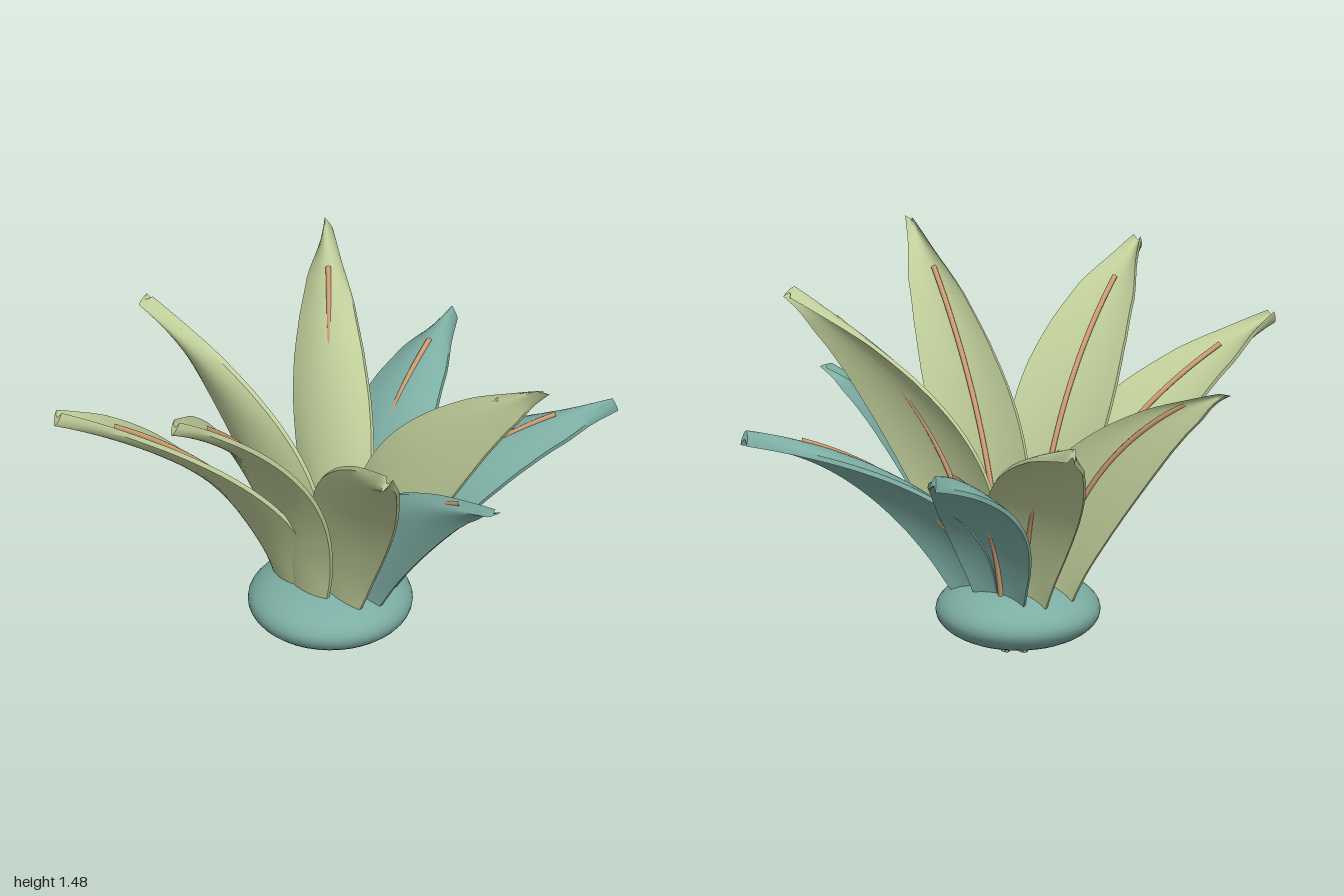
import * as THREE from 'three';
import { toCreasedNormals } from 'three/addons/utils/BufferGeometryUtils.js';

const CX = -0.025, CZ = -0.05; // plant axis

// half-width of a leaf along its length: [t, halfWidth]
const WIDTHS = [[0, 0.012], [0.08, 0.08], [0.18, 0.138], [0.35, 0.207], [0.5, 0.232],
  [0.65, 0.212], [0.83, 0.14], [0.93, 0.065], [1, 0.016]];
const widthCurve = new THREE.SplineCurve(WIDTHS.map(([t, w]) => new THREE.Vector2(t, w)));
const widthSamples = widthCurve.getPoints(200);

function halfWidth(t) {
  const i = widthSamples.findIndex((p) => p.x >= t - 1e-6);
  return widthSamples[i < 0 ? widthSamples.length - 1 : i].y;
}

// arching centre line from the hub to the leaf tip
function leafPath(x, y, z, rise) {
  const dx = x - CX, dz = z - CZ, r = Math.hypot(dx, dz);
  const at = (d, h) => new THREE.Vector3(CX + (dx / r) * d, h, CZ + (dz / r) * d);
  return new THREE.QuadraticBezierCurve3(at(0.13, 0.004), at(0.18, rise), at(r, y));
}

// curved blade: every cross-section spreads along x and bows along the normal
function bladeGeometry(path, scale) {
  const rings = 36, across = 10, thick = 0.026, pos = [], index = [];
  const X = new THREE.Vector3(1, 0, 0);
  const n = (across + 1) * 2;
  for (let i = 0; i <= rings; i++) {
    const t = i / rings, p = path.getPoint(t), w = halfWidth(t) * scale;
    const normal = path.getTangent(t).cross(X).normalize();
    for (let j = 0; j < n; j++) {
      const under = j <= across;
      const k = under ? j : n - 1 - j;
      const s = (k / across) * 2 - 1;
      const edge = 1 - 0.45 * s * s;
      const cup = 0.035 * (s * s - 0.2) * Math.min(1, t / 0.2);
      const v = cup + (under ? -0.5 : 0.5) * thick * edge * (1 + 0.5 * t);
      const q = p.clone().addScaledVector(X, s * w).addScaledVector(normal, v);
      pos.push(q.x, q.y, q.z);
    }
  }
  for (let i = 0; i < rings; i++) {
    for (let j = 0; j < n; j++) {
      const a = i * n + j, b = i * n + (j + 1) % n;
      index.push(a, b, a + n, b, b + n, a + n);
    }
  }
  // end caps as strips between the two faces
  const last = rings * n;
  for (let k = 0; k < across; k++) {
    const a = k, b = k + 1, c = n - 2 - k, d = n - 1 - k;
    index.push(a, c, b, a, d, c);
    index.push(last + a, last + b, last + c, last + a, last + c, last + d);
  }
  const g = new THREE.BufferGeometry();
  g.setAttribute('position', new THREE.Float32BufferAttribute(pos, 3));
  g.setIndex(index);
  return toCreasedNormals(g, 0.7);
}

// thin midrib: set back near the hub, lying on top of the blade near the tip
function ribGeometry(path) {
  const pts = [];
  for (let i = 0; i <= 16; i++) {
    const t = (i / 16) * 0.87;
    const lift = new THREE.Vector3(0, 0.01 + 0.026 * t, -0.022 * (1 - t));
    pts.push(path.getPoint(t).add(lift));
  }
  return new THREE.TubeGeometry(new THREE.CatmullRomCurve3(pts), 32, 0.011, 8);
}

export function createModel() {
  const mat = (name, color) => {
    const m = new THREE.MeshStandardMaterial({ color });
    m.name = name;
    return m;
  };
  const green = mat('pale green', 0xbfcd99);
  const teal = mat('blue green', 0x7cada3);
  const tan = mat('rib tan', 0xcd9c72);

  const group = new THREE.Group();
  group.name = 'succulentPlant';
  const add = (parent, name, geometry, material) => {
    const m = new THREE.Mesh(geometry, material);
    m.name = name;
    parent.add(m);
    return m;
  };

  // squashed hub
  const hub = add(group, 'hub', new THREE.SphereGeometry(0.34, 40, 24), teal);
  hub.scale.y = 0.415;
  hub.position.set(CX, 0.149, CZ);

  // leaves: tip x, y, z, arch height, material, width scale
  const leaves = [
    [0.06, 1.45, 0.925, 1.02, green, 1],
    [-0.57, 1.23, 0.99, 0.85, green, 1],
    [0.97, 1.45, 0.59, 0.88, green, 1],
    [-0.97, 1.23, 0.11, 0.88, green, 1],
    [-0.88, 1.23, -0.85, 0.88, green, 1],
    [0.89, 1.44, -0.375, 0.98, green, 1],
    [0.94, 1.01, -0.045, 0.78, teal, 0.93],
    [0.69, 1.02, -0.98, 0.78, teal, 0.93],
    [-0.27, 1.02, -0.985, 0.79, teal, 0.93],
  ];
  leaves.forEach(([x, y, z, rise, material, scale], i) => {
    const leaf = new THREE.Group();
    leaf.name = `leaf${i + 1}`;
    const path = leafPath(x, y, z, rise);
    add(leaf, 'blade', bladeGeometry(path, scale), material);
    add(leaf, 'midrib', ribGeometry(path), tan);
    group.add(leaf);
  });
  return group;
}
